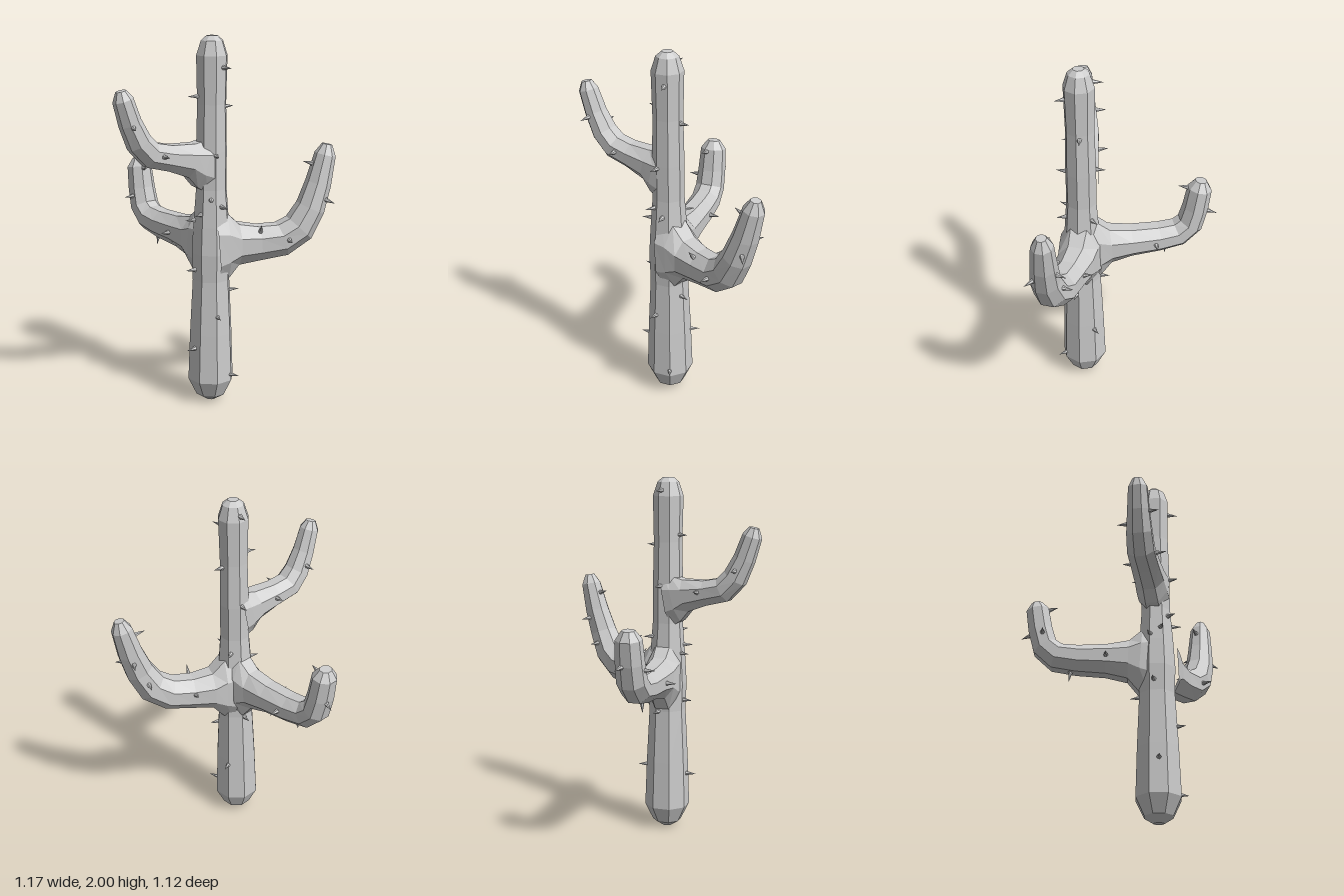
import * as THREE from 'three';

const SIDES = 8;
const material = new THREE.MeshStandardMaterial({ color: 0xcccccc, flatShading: true });
const UP = new THREE.Vector3(0, 1, 0);

// Rings are [x, y, z, half width, half height]; heading is the horizontal way the limb leaves the trunk.
function makeLimb(name, rings, heading, spines, closedStart) {
  const centres = rings.map(r => new THREE.Vector3(r[0], r[1], r[2]));
  const side = new THREE.Vector3(heading[0], 0, heading[1]).normalize().cross(UP);
  const last = rings.length - 1;
  const normals = centres.map((c, i) => {
    const tangent = centres[Math.min(i + 1, last)].clone().sub(centres[Math.max(i - 1, 0)]);
    return side.clone().cross(tangent).normalize();
  });
  const ringPoint = (i, angle, scale) => centres[i].clone()
    .addScaledVector(side, Math.cos(angle) * rings[i][3] * scale)
    .addScaledVector(normals[i], Math.sin(angle) * rings[i][4] * scale);

  // Octagonal skin, with a flat facing outwards on each side
  const positions = [];
  const index = [];
  const scale = 1 / Math.cos(Math.PI / SIDES);
  for (let i = 0; i <= last; i++) {
    for (let j = 0; j < SIDES; j++) {
      positions.push(...ringPoint(i, ((j + 0.5) / SIDES) * Math.PI * 2, scale).toArray());
    }
  }
  for (let i = 0; i < last; i++) {
    for (let j = 0; j < SIDES; j++) {
      const a = i * SIDES + j, b = i * SIDES + (j + 1) % SIDES;
      index.push(a, a + SIDES, b, b, a + SIDES, b + SIDES);
    }
  }
  // End caps
  for (let j = 1; j < SIDES - 1; j++) {
    const e = last * SIDES;
    index.push(e, e + j + 1, e + j);
    if (closedStart) index.push(0, j, j + 1);
  }
  const geometry = new THREE.BufferGeometry();
  geometry.setAttribute('position', new THREE.Float32BufferAttribute(positions, 3));
  geometry.setIndex(index);
  geometry.computeVertexNormals();

  const group = new THREE.Group();
  group.name = name;
  const skin = new THREE.Mesh(geometry, material);
  skin.name = name + 'Skin';
  group.add(skin);

  // Spines: [position counted in rings, degrees around the limb]
  const cone = new THREE.ConeGeometry(0.016, 0.07, 6).translate(0, 0.023, 0);
  for (const [t, degrees] of spines) {
    const i = Math.min(Math.floor(t), last - 1);
    const angle = THREE.MathUtils.degToRad(degrees);
    const base = ringPoint(i, angle, 1).lerp(ringPoint(i + 1, angle, 1), t - i);
    const middle = centres[i].clone().lerp(centres[i + 1], t - i);
    const spine = new THREE.Mesh(cone, material);
    spine.name = 'spine';
    spine.position.copy(base);
    spine.quaternion.setFromUnitVectors(UP, base.clone().sub(middle).normalize());
    group.add(spine);
  }
  return group;
}

export function createModel() {
  const model = new THREE.Group();
  model.name = 'cactus';

  // Trunk: [height, radius]
  const profile = [
    [0, 0.025], [0.035, 0.075], [0.13, 0.118], [0.4, 0.109], [0.7, 0.095],
    [0.85, 0.1], [1.0, 0.092], [1.2, 0.078], [1.4, 0.078], [1.65, 0.073],
    [1.9, 0.078], [1.975, 0.055], [2, 0.028],
  ];
  // Trunk spines: [height, degrees], 0 = left, 90 = front, 180 = right, 270 = back
  const trunkSpines = [
    [0.165, 68], [0.32, 178], [0.37, -22], [0.51, 110], [0.63, 28], [0.7, 285], [0.76, 190],
    [1.03, 200], [1.07, 165], [1.11, 90], [1.12, -30], [1.15, 130], [1.385, 112], [1.41, 285],
    [1.63, 10], [1.69, 200], [1.84, 80], [1.93, 285],
  ].map(([y, degrees]) => {
    const i = profile.findIndex(p => p[0] > y) - 1;
    return [i + (y - profile[i][0]) / (profile[i + 1][0] - profile[i][0]), degrees];
  });
  model.add(makeLimb('trunk', profile.map(([y, r]) => [-0.038, y, 0.193, r, r]), [0, -1], trunkSpines, true));

  // Left arm, flaring into the trunk and bending upwards
  model.add(makeLimb('leftArm', [
    [-0.02, 0.88, 0.2, 0.12, 0.21], [0.04, 0.885, 0.225, 0.11, 0.18], [0.1, 0.885, 0.25, 0.1, 0.112],
    [0.2, 0.885, 0.305, 0.088, 0.094], [0.31, 0.9, 0.37, 0.088, 0.09], [0.39, 0.96, 0.42, 0.085, 0.085],
    [0.445, 1.07, 0.45, 0.075, 0.075], [0.49, 1.2, 0.46, 0.066, 0.066],
    [0.53, 1.355, 0.467, 0.054, 0.054], [0.54, 1.41, 0.47, 0.026, 0.026],
  ], [0.58, 0.28], [
    [3, 50], [3, 165], [4.2, 0], [5.5, 180], [6.5, 310], [6.7, 190], [7.6, 90],
  ]));

  // Right arm, the highest and thinnest
  model.add(makeLimb('rightArm', [
    [-0.05, 1.33, 0.185, 0.085, 0.15], [-0.1, 1.34, 0.175, 0.085, 0.13], [-0.16, 1.36, 0.16, 0.08, 0.09],
    [-0.28, 1.383, 0.135, 0.075, 0.068], [-0.38, 1.407, 0.115, 0.073, 0.068],
    [-0.445, 1.475, 0.108, 0.068, 0.064], [-0.495, 1.58, 0.104, 0.058, 0.056],
    [-0.535, 1.7, 0.102, 0.05, 0.05], [-0.545, 1.745, 0.1, 0.026, 0.026],
  ], [-1, -0.15], [
    [2.8, 10], [3.6, 175], [5.4, 0], [5.9, 195],
  ]));

  // Back arm, the shortest
  model.add(makeLimb('backArm', [
    [-0.035, 0.895, 0.17, 0.09, 0.21], [-0.035, 0.9, 0.105, 0.095, 0.18], [-0.035, 0.905, 0.04, 0.088, 0.112],
    [-0.035, 0.91, -0.08, 0.083, 0.087], [-0.037, 0.915, -0.24, 0.08, 0.078],
    [-0.038, 0.932, -0.35, 0.078, 0.075], [-0.038, 0.99, -0.415, 0.077, 0.07],
    [-0.038, 1.09, -0.442, 0.073, 0.066], [-0.038, 1.215, -0.462, 0.066, 0.062],
    [-0.038, 1.262, -0.468, 0.034, 0.03],
  ], [0, -1], [
    [3.0, 180], [3.8, 0], [4.2, 265], [6.6, 175], [7.0, 290], [7.9, 105],
  ]));

  return model;
}
